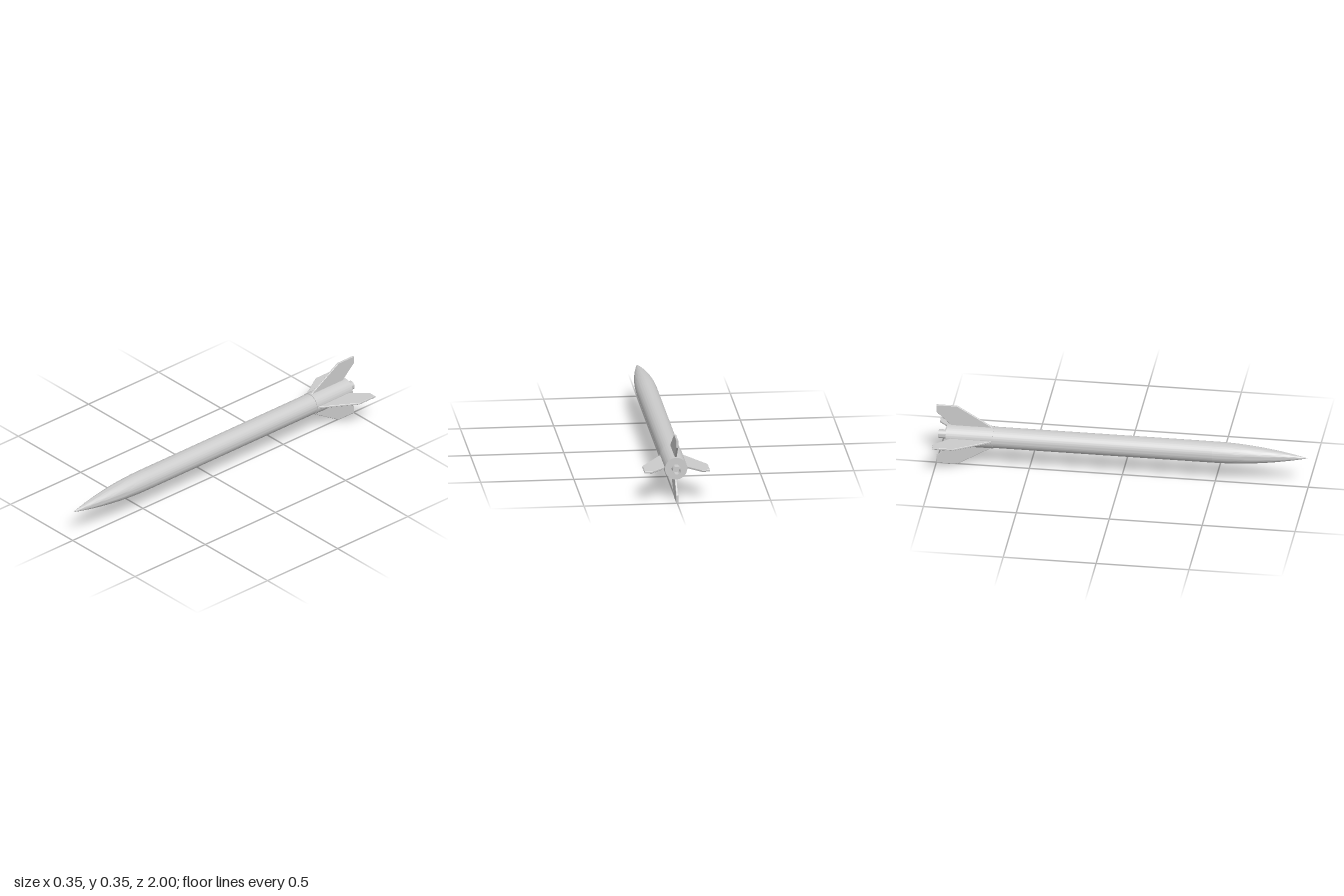
import * as THREE from 'three';
import { toCreasedNormals } from 'three/addons/utils/BufferGeometryUtils.js';

const material = new THREE.MeshStandardMaterial({ color: 0xcccccc });
const AXIS_Y = 0.175;
const BODY_R = 0.057, CAN_R = 0.06;

export function createModel() {
  const rocket = new THREE.Group();
  rocket.name = 'rocket';

  const add = (name, geometry, parent = rocket) => {
    const mesh = new THREE.Mesh(geometry, material);
    mesh.name = name;
    parent.add(mesh);
    return mesh;
  };
  // Turned part along z, from [radius, z] pairs
  const turned = (name, profile, segments = 64) => {
    const points = profile.map(([r, z]) => new THREE.Vector2(r, z));
    const geometry = new THREE.LatheGeometry(points, segments).rotateX(Math.PI / 2);
    return add(name, toCreasedNormals(geometry, 0.5));
  };

  // Ogive nose cone
  const nose = [];
  for (let i = 0; i <= 20; i++) {
    const t = i / 20;
    nose.push([BODY_R * (1 - t * t), 0.49 + 0.51 * t]);
  }
  turned('noseCone', nose);

  // Body tube, and the slightly wider fin can with its closed rear
  turned('bodyTube', [[BODY_R, -0.7], [BODY_R, 0.49]]);
  turned('finCan', [[0, -0.942], [CAN_R, -0.942], [CAN_R, -0.69], [0.055, -0.69]]);

  // Hollow motor nozzle
  turned('motorNozzle', [[0.019, -0.942], [0.019, -0.987], [0.024, -0.987], [0.024, -0.942]], 40);

  // Four swept fins with lightly chamfered edges
  const outline = new THREE.Shape([
    [0.05, -0.68], [0.05, -0.91], [0.06, -0.922], [0.133, -1],
    [0.175, -1], [0.175, -0.888], [0.06, -0.697],
  ].map(([r, z]) => new THREE.Vector2(r, z)));
  const finGeometry = new THREE.ExtrudeGeometry(outline, {
    depth: 0.007, bevelThickness: 0.002, bevelSize: 0.002, bevelOffset: -0.002, bevelSegments: 1,
  });
  finGeometry.translate(0, 0, -0.0035).rotateX(Math.PI / 2);

  // Small screws between the fins, near both ends of the can
  const screwGeometry = new THREE.CylinderGeometry(0.003, 0.003, 0.004, 12);
  screwGeometry.rotateZ(-Math.PI / 2);

  for (let i = 0; i < 4; i++) {
    const angle = i * Math.PI / 2;
    add('fin', finGeometry).rotation.z = angle;

    const screws = new THREE.Group();
    screws.name = 'screws';
    screws.rotation.z = angle + Math.PI / 4;
    for (const z of [-0.715, -0.905]) {
      add('screw', screwGeometry, screws).position.set(CAN_R - 0.0015, 0, z);
    }
    rocket.add(screws);
  }

  rocket.position.y = AXIS_Y;
  const model = new THREE.Group();
  model.name = 'rocketModel';
  model.add(rocket);
  return model;
}
